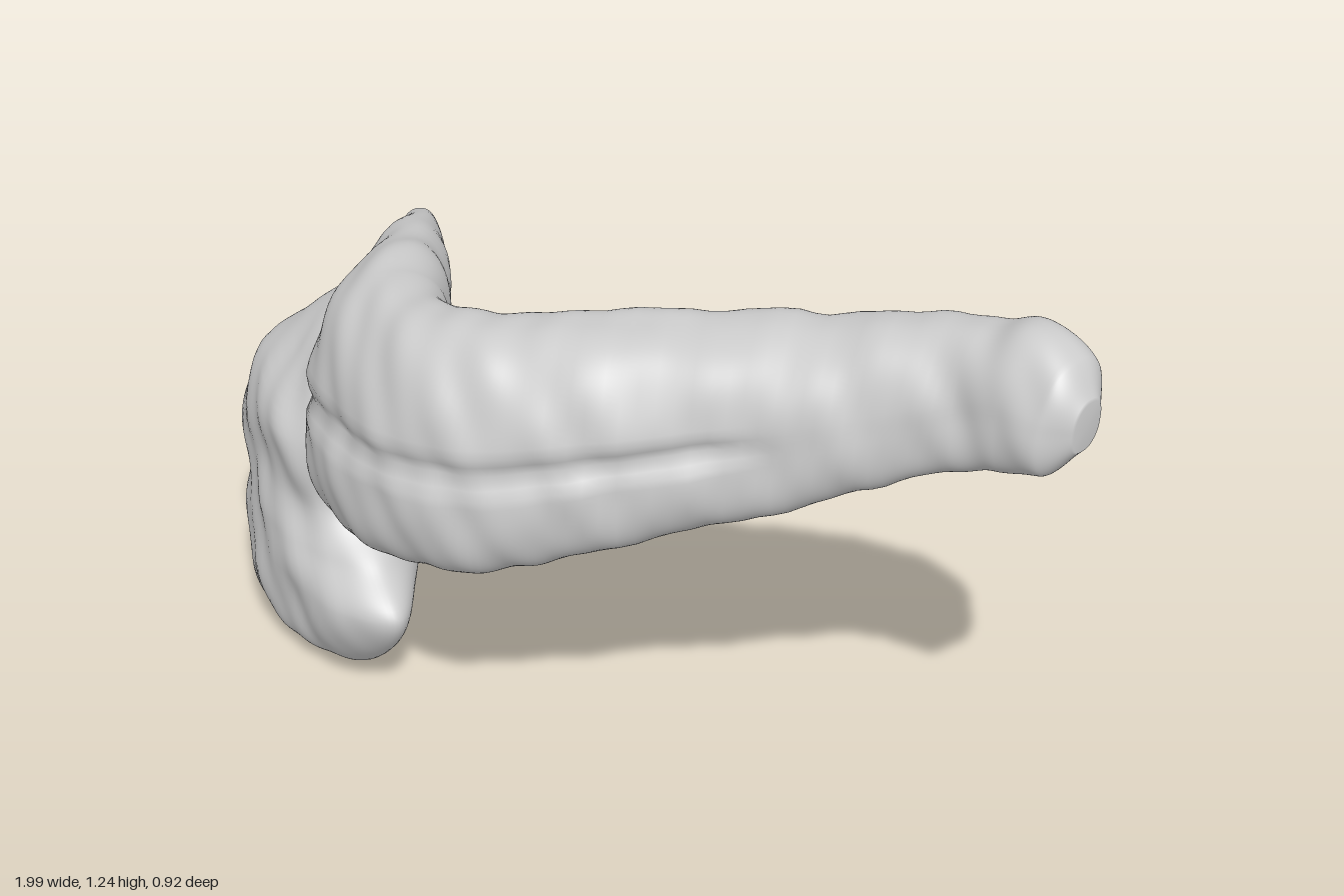
import * as THREE from 'three';

const material = new THREE.MeshStandardMaterial({ color: 0xcccccc, roughness: 0.8 });

// Smooth skin over closed rings of points, closed with a centre point at both ends
function loft(rings) {
  const n = rings[0].length, pos = [], idx = [];
  rings.forEach(r => r.forEach(p => pos.push(p.x, p.y, p.z)));
  for (let i = 0; i < rings.length - 1; i++) {
    for (let j = 0; j < n; j++) {
      const a = i * n + j, b = i * n + (j + 1) % n;
      idx.push(a, b, a + n, b, b + n, a + n);
    }
  }
  [0, rings.length - 1].forEach((i, end) => {
    const c = new THREE.Vector3();
    rings[i].forEach(p => c.addScaledVector(p, 1 / n));
    const k = pos.length / 3;
    pos.push(c.x, c.y, c.z);
    for (let j = 0; j < n; j++) {
      const a = i * n + j, b = i * n + (j + 1) % n;
      if (end) idx.push(a, b, k); else idx.push(b, a, k);
    }
  });
  // Turn the faces outwards if the rings ran the other way
  const v = i => new THREE.Vector3().fromArray(pos, i * 3);
  let volume = 0;
  for (let i = 0; i < idx.length; i += 3) volume += v(idx[i]).dot(v(idx[i + 1]).cross(v(idx[i + 2])));
  if (volume < 0) idx.reverse();
  const g = new THREE.BufferGeometry();
  g.setAttribute('position', new THREE.Float32BufferAttribute(pos, 3));
  g.setIndex(idx);
  g.computeVertexNormals();
  return g;
}

// Gentle lobular unevenness of the surface
const bumps = p =>
  0.006 * Math.sin(19 * p.x + 9 * p.y + 2 * Math.sin(11 * p.z)) * Math.sin(15 * p.y - 12 * p.z + 1) +
  0.003 * Math.sin(41 * p.x - 17 * p.z) * Math.sin(33 * p.y + 14 * p.x);

const smooth = THREE.MathUtils.smoothstep;

// Neck, body and tail: x, z, half thickness, top, bottom along the bent axis
const axis = [
  [-0.88, -0.13, 0.03, 0.76, 0.42],
  [-0.82, -0.10, 0.065, 0.87, 0.32],
  [-0.55, 0.15, 0.13, 0.99, 0.36],
  [-0.42, 0.26, 0.15, 1.01, 0.44],
  [-0.25, 0.305, 0.14, 1.02, 0.48],
  [-0.08, 0.27, 0.15, 1.04, 0.52],
  [0.08, 0.15, 0.15, 1.07, 0.59],
  [0.42, -0.15, 0.13, 1.13, 0.76],
  [0.72, -0.335, 0.10, 1.21, 0.92],
  [0.84, -0.36, 0.095, 1.25, 0.96],
  [0.94, -0.365, 0.08, 1.22, 1.0],
  [0.99, -0.37, 0.035, 1.16, 1.06],
];

function bodyGeometry() {
  const path = new THREE.CatmullRomCurve3(axis.map(a => new THREE.Vector3(a[0], 0, a[1])));
  const size = new THREE.CatmullRomCurve3(axis.map(a => new THREE.Vector3(a[2], a[3], a[4])));
  const rings = [], steps = 150, sides = 96;
  const round = c => Math.sign(c) * Math.abs(c) ** 0.85;
  for (let i = 0; i <= steps; i++) {
    const t = i / steps, c = path.getPoint(t), s = size.getPoint(t);
    const d = path.getTangent(t);
    const normal = new THREE.Vector3(-d.z, 0, d.x);
    const mid = (s.y + s.z) / 2, half = (s.y - s.z) / 2;
    // The long furrow fades out before the tail
    const furrow = 0.022 * smooth(c.x, -0.62, -0.5) * (1 - smooth(c.x, 0.28, 0.42));
    const ring = [];
    for (let j = 0; j < sides; j++) {
      const a = j / sides * Math.PI * 2, co = Math.cos(a), si = Math.sin(a);
      const p = c.clone().addScaledVector(normal, s.x * round(co) - 0.3 * s.x * si);
      p.y = mid + half * round(si);
      const dent = co > 0 ? furrow * Math.exp(-((si / 0.07) ** 2)) : 0;
      const b = bumps(p) * Math.min(1, s.x / 0.1);
      p.addScaledVector(normal, co * b - dent);
      p.y += si * b;
      ring.push(p);
    }
    rings.push(ring);
  }
  return loft(rings);
}

// Head with its hooked lobe: level, then x, z pairs from the back corner round the outside
const levels = [
  [0.07, -0.73, 0.10, -0.88, 0.17, -0.85, 0.31, -0.66, 0.375, -0.50, 0.37, -0.42, 0.30, -0.49, 0.21, -0.60, 0.12],
  [0.24, -0.83, 0.00, -0.96, 0.12, -0.92, 0.29, -0.70, 0.39, -0.40, 0.40, -0.285, 0.32, -0.40, 0.20, -0.64, 0.04],
  [0.33, -0.85, -0.06, -0.97, 0.11, -0.93, 0.28, -0.71, 0.38, -0.48, 0.38, -0.38, 0.30, -0.46, 0.16, -0.65, 0.00],
  [0.42, -0.87, -0.10, -0.985, 0.11, -0.94, 0.27, -0.73, 0.36, -0.54, 0.36, -0.475, 0.27, -0.50, 0.12, -0.66, -0.04],
  [0.58, -0.88, -0.14, -0.975, 0.10, -0.93, 0.24, -0.75, 0.36, -0.57, 0.37, -0.46, 0.28, -0.48, 0.09, -0.66, -0.07],
  [0.76, -0.85, -0.13, -0.84, -0.01, -0.75, 0.10, -0.63, 0.20, -0.53, 0.25, -0.46, 0.22, -0.50, 0.12, -0.66, -0.03],
];

function headGeometry() {
  // One smooth rib per outline point, drawn in under the foot and running up the head
  const foot = new THREE.Vector3(-0.68, 0.015, 0.25);
  const ribs = [1, 3, 5, 7, 9, 11, 13, 15].map(k => {
    const points = levels.map(l => new THREE.Vector3(l[k], l[0], l[k + 1]));
    const under = points[0].clone().lerp(foot, 0.5).setY(foot.y);
    return new THREE.CatmullRomCurve3([under, ...points]);
  });
  const rings = [], steps = 66, sides = 80;
  const centre = new THREE.Vector3(-0.68, 0, 0.16);
  for (let i = 0; i <= steps; i++) {
    const outline = new THREE.CatmullRomCurve3(ribs.map(r => r.getPoint(i / steps)), true);
    const ring = [];
    for (let j = 0; j < sides; j++) {
      const p = outline.getPoint(j / sides);
      const out = p.clone().sub(centre).setY(0).normalize();
      // Only the outer side is lumpy; the inner side is smooth
      const lumpy = smooth(out.z - out.x, -0.6, 0.4);
      ring.push(p.addScaledVector(out, 1.6 * bumps(p) * lumpy));
    }
    rings.push(ring);
  }
  return loft(rings);
}

export function createModel() {
  const group = new THREE.Group();
  group.name = 'pancreas';
  const parts = { bodyAndTail: bodyGeometry(), headWithHook: headGeometry() };
  for (const [name, geometry] of Object.entries(parts)) {
    const mesh = new THREE.Mesh(geometry, material);
    mesh.name = name;
    group.add(mesh);
  }
  return group;
}
